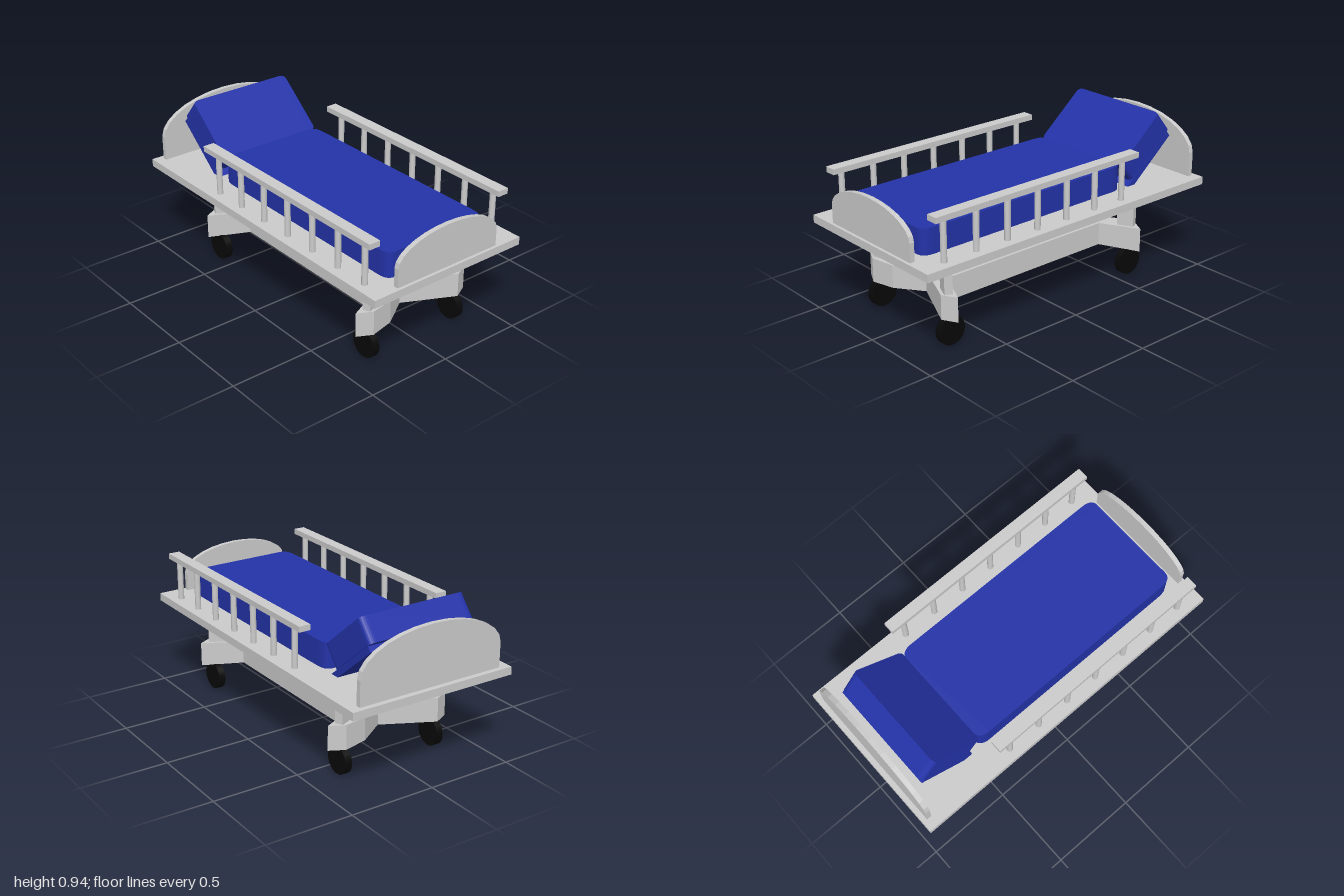
import * as THREE from 'three';

const grey = new THREE.MeshStandardMaterial({ color: 0xcccccc, flatShading: true });
const blue = new THREE.MeshStandardMaterial({ color: 0x2433a8, flatShading: true });
const black = new THREE.MeshStandardMaterial({ color: 0x080808 });
const MID_Z = 0.055; // centre of the undercarriage

export function createModel() {
  const model = new THREE.Group();

  const add = (name, geometry, material, x = 0, y = 0, z = 0) => {
    const mesh = new THREE.Mesh(geometry, material);
    mesh.name = name;
    mesh.position.set(x, y, z);
    model.add(mesh);
    return mesh;
  };
  const polygon = (pts) => new THREE.Shape(pts.map(([x, y]) => new THREE.Vector2(x, y)));
  const extrude = (shape, depth) =>
    new THREE.ExtrudeGeometry(shape, { depth, bevelEnabled: false, curveSegments: 6 }).translate(0, 0, -depth / 2);

  // Cushion slab with corners rounded in plan, thickness along y
  const cushion = (w, len, thick, rx, rz) => {
    const s = new THREE.Shape();
    const a = w / 2, b = len / 2;
    s.moveTo(a, -b + rz);
    s.lineTo(a, b - rz);
    s.quadraticCurveTo(a, b, a - rx, b);
    s.lineTo(-a + rx, b);
    s.quadraticCurveTo(-a, b, -a, b - rz);
    s.lineTo(-a, -b + rz);
    s.quadraticCurveTo(-a, -b, -a + rx, -b);
    s.lineTo(a - rx, -b);
    s.quadraticCurveTo(a, -b, a, -b + rz);
    return extrude(s, thick).rotateX(-Math.PI / 2);
  };

  // Deck
  add('deck', new THREE.BoxGeometry(1, 0.045, 2), grey, 0, 0.5325, 0);

  // Mattress and raised backrest
  add('mattress', cushion(0.65, 1.395, 0.147, 0.05, 0.07), blue, 0, 0.627, 0.194);
  add('backrest', cushion(0.65, 0.39, 0.144, 0.04, 0.03), blue, 0, 0.7625, -0.694).rotation.x = 0.695;
  add('backrestPlate', new THREE.BoxGeometry(0.65, 0.035, 0.435), blue, 0, 0.661, -0.7145).rotation.x = 0.695;

  // Arched end boards
  const endBoard = (name, halfWidth, spring, rise, z) => {
    const pts = [[-halfWidth, 0.55], [halfWidth, 0.55]];
    for (let i = 0; i <= 14; i++) {
      const t = (i / 14) * Math.PI;
      pts.push([halfWidth * Math.cos(t), spring + rise * Math.sin(t)]);
    }
    add(name, extrude(polygon(pts), 0.028), grey, 0, 0, z);
  };
  endBoard('footboard', 0.338, 0.66, 0.14, 0.969);
  endBoard('headboard', 0.44, 0.695, 0.2, -0.957);

  // Side rails on round posts
  for (const side of [-1, 1]) {
    add('sideRail', new THREE.BoxGeometry(0.067, 0.032, 1.405), grey, side * 0.437, 0.804, 0.2175);
    for (let i = 0; i < 7; i++) {
      add('railPost', new THREE.CylinderGeometry(0.017, 0.017, 0.25, 16), grey,
        side * 0.437, 0.67, 0.85 - i * 0.2067);
    }
  }

  // Base frame: a beam forking into two arms at each end, slightly deeper at the tips
  const half = [[0.16, 0.56], [0.385, 0.67], [0.3, 0.715], [0, 0.58], [-0.16, 0.685],
    [-0.3, 0.715], [-0.385, 0.67], [-0.16, 0.56]];
  const outline = [...half, ...half.map(([x, z]) => [-x, -z])];
  const frame = extrude(polygon(outline.map(([x, z]) => [x, -z])), 2).rotateX(-Math.PI / 2);
  const p = frame.attributes.position;
  for (let i = 0; i < p.count; i++) {
    const spread = 0.0625 + 0.0085 * Math.min(1, Math.abs(p.getX(i)) / 0.3);
    p.setY(i, Math.sign(p.getY(i)) * spread);
  }
  frame.computeVertexNormals();
  add('baseFrame', frame, grey, 0, 0.228, MID_Z);

  // Waisted supports between frame and deck
  const support = polygon([[-0.21, 0.285], [0.105, 0.285], [0.065, 0.35], [0.175, 0.515],
    [-0.285, 0.515], [-0.165, 0.35]]);
  for (const side of [-1, 1]) {
    add('centreSupport', extrude(support, 0.075).rotateY(Math.PI / 2), grey, side * 0.0975, 0, 0);
  }

  // Angled legs and wheels
  for (const side of [-1, 1]) {
    for (const end of [-1, 1]) {
      const z = MID_Z + end * 0.662;
      add('leg', new THREE.BoxGeometry(0.0985, 0.24, 0.045), grey, side * 0.28, 0.4, z)
        .rotation.y = -side * end * 0.43;
      add('wheel', new THREE.CylinderGeometry(0.082, 0.082, 0.04, 28).rotateZ(Math.PI / 2), black,
        side * 0.3, 0.082, z - end * 0.004);
    }
  }
  return model;
}
